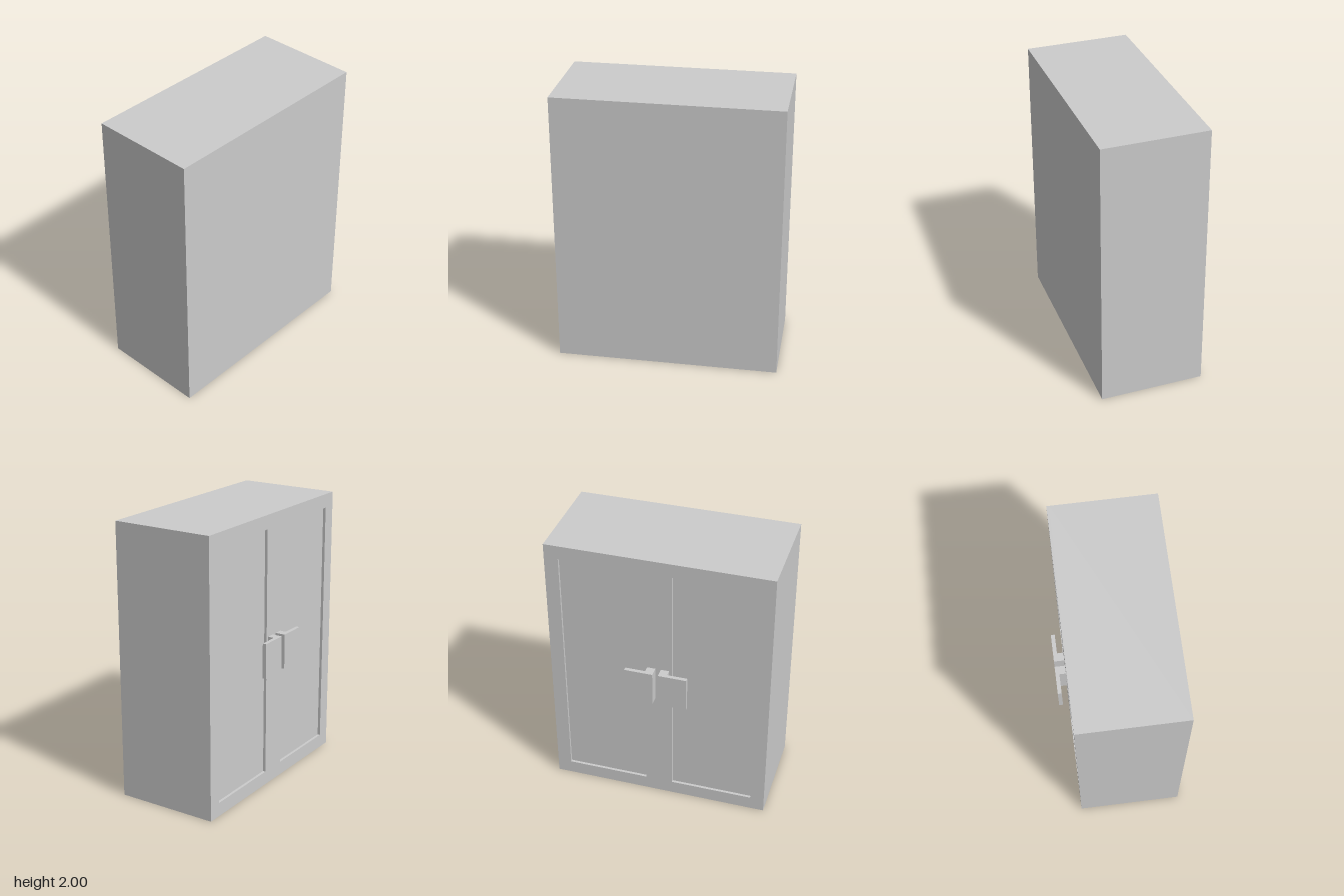
import * as THREE from 'three';

const material = new THREE.MeshStandardMaterial({ color: 0xcccccc, flatShading: true });

const WIDTH = 1.595, HEIGHT = 2;
const Z_REAR = 0.412, Z_DOOR = -0.338, RECESS = 0.02;

function addMesh(parent, name, geometry) {
  const mesh = new THREE.Mesh(geometry, material);
  mesh.name = name;
  parent.add(mesh);
  return mesh;
}

// Rectangle outline usable as a shape or a hole
function rectangle(PathType, x0, y0, x1, y1) {
  const path = new PathType();
  path.moveTo(x0, y0).lineTo(x1, y0).lineTo(x1, y1).lineTo(x0, y1).closePath();
  return path;
}

export function createModel() {
  const cabinet = new THREE.Group();
  cabinet.name = 'cabinet';

  // Solid carcass; its -z face is the floor of the door panels
  const depth = Z_REAR - Z_DOOR - RECESS;
  const carcass = addMesh(cabinet, 'carcass', new THREE.BoxGeometry(WIDTH, HEIGHT, depth));
  carcass.position.set(0, HEIGHT / 2, Z_REAR - depth / 2);

  // Door frame with two recessed panel openings
  const frame = rectangle(THREE.Shape, -WIDTH / 2, 0, WIDTH / 2, HEIGHT);
  for (const side of [-1, 1]) {
    frame.holes.push(rectangle(THREE.Path, side * 0.1, 0.1, side * 0.697, 1.9));
  }
  const frameGeometry = new THREE.ExtrudeGeometry(frame, { depth: RECESS, bevelEnabled: false });
  addMesh(cabinet, 'doorFrame', frameGeometry).position.z = Z_DOOR;

  // L-shaped handles: a stem beside the centre line and a plate reaching outwards
  const profile = [[0.02, 0.338], [0.08, 0.338], [0.08, 0.384], [0.224, 0.384], [0.224, 0.412], [0.02, 0.412]];
  for (const side of [-1, 1]) {
    const shape = new THREE.Shape(profile.map(([x, y]) => new THREE.Vector2(side * x, y)));
    const geometry = new THREE.ExtrudeGeometry(shape, { depth: 0.255, bevelEnabled: false });
    geometry.rotateX(-Math.PI / 2);
    addMesh(cabinet, side > 0 ? 'leftHandle' : 'rightHandle', geometry).position.y = 0.873;
  }

  return cabinet;
}
